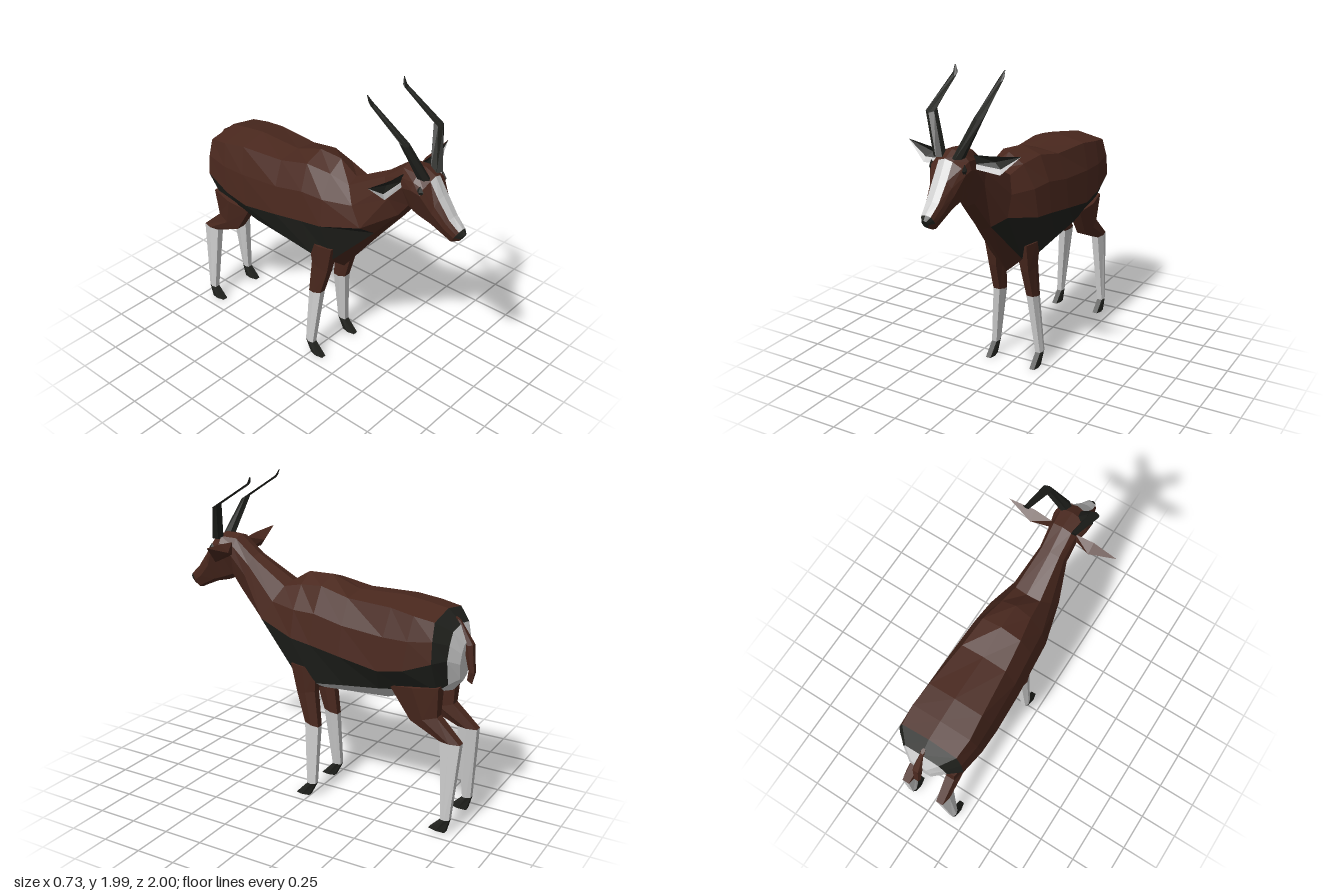
import * as THREE from 'three';

const BROWN = 0x4a281e, BLACK = 0x20211d, PALE = 0xcccccc;
const materials = {};
const material = (color) => (materials[color] ??= new THREE.MeshStandardMaterial({ color, flatShading: true, roughness: 0.9 }));

// One mesh per colour from a list of { color, pts } convex polygons
function facesToGroup(name, faces) {
  const group = new THREE.Group();
  group.name = name;
  const byColor = new Map();
  for (const { color, pts } of faces) {
    if (!byColor.has(color)) byColor.set(color, []);
    for (let k = 1; k < pts.length - 1; k++)
      for (const p of [pts[0], pts[k], pts[k + 1]]) byColor.get(color).push(...p);
  }
  for (const [color, coords] of byColor) {
    const geo = new THREE.BufferGeometry();
    geo.setAttribute('position', new THREE.Float32BufferAttribute(coords, 3));
    geo.computeVertexNormals();
    const mesh = new THREE.Mesh(geo, material(color));
    mesh.name = name + ({ [BROWN]: 'Brown', [BLACK]: 'Black', [PALE]: 'Pale' })[color];
    group.add(mesh);
  }
  return group;
}

// Skin a list of rings; each ring runs clockwise seen from the first end
function loft(rings, colorOf) {
  const faces = [], n = rings[0].length, last = rings.length - 1;
  for (let i = 0; i < last; i++)
    for (let j = 0; j < n; j++) {
      const k = (j + 1) % n;
      faces.push({ color: colorOf(i, j), pts: [rings[i][j], rings[i][k], rings[i + 1][k], rings[i + 1][j]] });
    }
  faces.push({ color: colorOf(0, 0), pts: [...rings[0]].reverse() });
  faces.push({ color: colorOf(last - 1, 0), pts: rings[last] });
  return faces;
}

const mirrorFaces = (faces) =>
  faces.map(({ color, pts }) => ({ color, pts: pts.map(([x, y, z]) => [-x, y, z]).reverse() }));

function addPair(group, name, faces) {
  group.add(facesToGroup(name + 'Left', faces), facesToGroup(name + 'Right', mirrorFaces(faces)));
}

// Symmetric ring: top z,y, bottom z,y, then half-width and depth fraction of back edge, flank and belly edge
function trunkRing([zt, yt, zb, yb, ux, ut, mx, mt, wx, wt]) {
  const half = [[ux, ut], [ux + (mx - ux) * 0.75, ut + (mt - ut) * 0.45], [mx, mt], [wx, wt]];
  const at = (x, t) => [x, yt + (yb - yt) * t, zt + (zb - zt) * t];
  return [at(0, 0), ...half.map(([x, t]) => at(x, t)), at(0, 1), ...half.reverse().map(([x, t]) => at(-x, t))];
}
const band = (j) => Math.min(j, 9 - j);

// Leg ring: front z,y, back z,y, inner and outer x
function legRing([zf, yf, zb, yb, xi, xo]) {
  const c = (xi + xo) / 2, h = (xo - xi) * 0.32, zm = (zf + zb) / 2, ym = (yf + yb) / 2;
  return [[c - h, yb, zb], [c + h, yb, zb], [xo, ym, zm], [c + h, yf, zf], [c - h, yf, zf], [xi, ym, zm]];
}

export function createModel() {
  const model = new THREE.Group();
  model.name = 'antelope';
  const neckBase = [0.22, 1.345, 0.42, 1.03, 0.085, 0.06, 0.145, 0.74, 0.055, 0.93];

  // Head and neck, nose to shoulder
  const head = [
    [1.0, 1.275, 0.97, 1.225, 0.014, 0.1, 0.02, 0.5, 0.014, 0.9],
    [0.98, 1.3, 0.92, 1.2, 0.03, 0.08, 0.042, 0.5, 0.028, 0.9],
    [0.915, 1.355, 0.87, 1.225, 0.04, 0.05, 0.056, 0.5, 0.035, 0.9],
    [0.84, 1.46, 0.79, 1.26, 0.045, 0.04, 0.078, 0.45, 0.045, 0.9],
    [0.78, 1.56, 0.71, 1.28, 0.045, 0.05, 0.115, 0.3, 0.055, 0.9],
    [0.71, 1.595, 0.68, 1.29, 0.07, 0.06, 0.115, 0.35, 0.055, 0.9],
    [0.6, 1.59, 0.645, 1.31, 0.06, 0.06, 0.095, 0.45, 0.05, 0.9],
    [0.47, 1.485, 0.58, 1.225, 0.06, 0.06, 0.09, 0.5, 0.05, 0.92],
    neckBase,
  ];
  model.add(facesToGroup('headAndNeck', loft(head.map(trunkRing), (i, j) =>
    i === 0 && band(j) < 3 ? BLACK : i > 0 && i < 4 && band(j) === 0 ? PALE : BROWN)));

  // Trunk, shoulder to rump, with dark flank, pale belly and rump patch
  const trunk = [
    neckBase,
    [0.1, 1.42, 0.13, 0.66, 0.1, 0.08, 0.21, 0.49, 0.11, 0.87],
    [-0.06, 1.425, 0, 0.68, 0.13, 0.06, 0.22, 0.53, 0.14, 0.9],
    [-0.25, 1.36, -0.22, 0.695, 0.15, 0.03, 0.235, 0.54, 0.15, 0.86],
    [-0.55, 1.37, -0.45, 0.71, 0.18, 0.05, 0.24, 0.62, 0.16, 0.83],
    [-0.7, 1.35, -0.62, 0.77, 0.195, 0.06, 0.24, 0.62, 0.15, 0.87],
    [-0.82, 1.33, -0.83, 0.83, 0.185, 0.07, 0.225, 0.54, 0.14, 0.92],
    [-0.905, 1.255, -0.87, 0.84, 0.115, 0.05, 0.15, 0.45, 0.09, 0.85],
    [-0.95, 1.16, -0.93, 0.91, 0.05, 0.05, 0.08, 0.5, 0.05, 0.9],
  ];
  model.add(facesToGroup('trunk', loft(trunk.map(trunkRing), (i, j) => {
    const b = band(j);
    if (i === 7) return PALE;
    if (i === 6) return b === 4 ? PALE : BLACK;
    if (b === 4) return i < 2 ? BROWN : PALE;
    return b === 3 ? BLACK : BROWN;
  })));

  // Tail: narrow strip hanging over the rump patch
  const tail = [[-0.87, 1.29, -0.9, 1.27, -0.012, 0.012], [-0.93, 1.13, -0.985, 1.14, -0.028, 0.028],
    [-0.965, 0.98, -1.0, 0.97, -0.022, 0.022], [-0.955, 0.92, -0.985, 0.9, -0.006, 0.006]];
  model.add(facesToGroup('tail', loft(tail.map(legRing), () => BROWN)));

  // Legs: brown upper part, pale shank, dark hoof
  const frontLeg = [
    [0.15, 0.86, -0.03, 0.86, 0.05, 0.17],
    [0.11, 0.67, -0.015, 0.7, 0.075, 0.155],
    [0.055, 0.485, -0.04, 0.465, 0.085, 0.155],
    [0.02, 0.085, -0.04, 0.09, 0.135, 0.188],
    [0.1, 0, 0.005, 0, 0.135, 0.188],
  ];
  const hindLeg = [
    [-0.54, 0.86, -0.85, 0.9, 0.06, 0.19],
    [-0.67, 0.66, -0.84, 0.71, 0.07, 0.165],
    [-0.865, 0.57, -0.99, 0.57, 0.09, 0.165],
    [-0.9, 0.085, -0.955, 0.09, 0.135, 0.188],
    [-0.825, 0.01, -0.93, 0, 0.135, 0.188],
  ];
  const legColors = [BROWN, BROWN, PALE, BLACK];
  for (const [name, leg] of [['frontLeg', frontLeg], ['hindLeg', hindLeg]])
    addPair(model, name, loft(leg.map(legRing), (i) => legColors[i]));

  // Horns: up and out, then bent back, with upturned tips (tip first, so rings turn clockwise)
  const horn = [[0.16, 1.987, 0.418, 0.004, 0.004], [0.15, 1.945, 0.435, 0.016, 0.022],
    [0.155, 1.79, 0.67, 0.032, 0.034], [0.06, 1.56, 0.74, 0.033, 0.042]];
  const hornRings = horn.map(([x, y, z, rx, rz], i) => Array.from({ length: 6 }, (_, k) => {
    const a = (k / 6) * Math.PI * 2, lean = [0.9, 0.9, 0.5, 0][i];
    return [x + rx * Math.sin(a), y - rz * Math.cos(a) * Math.sin(lean) * -1, z - rz * Math.cos(a) * Math.cos(lean)];
  }));
  addPair(model, 'horn', loft(hornRings, () => BLACK));

  // Ears: brown back, dark hollow, pale lower rim
  const rim = [[0.08, 1.47, 0.62], [0.25, 1.46, 0.625], [0.365, 1.575, 0.6], [0.2, 1.56, 0.625], [0.08, 1.55, 0.62]];
  const hollow = [0.2, 1.52, 0.595], back = [0.2, 1.515, 0.565];
  const inner = [[0.08, 1.495, 0.61], [0.245, 1.49, 0.61]];
  const ear = [
    { color: PALE, pts: [rim[0], rim[1], inner[1], inner[0]] },
    { color: PALE, pts: [rim[1], rim[2], inner[1]] },
    { color: BLACK, pts: [inner[0], inner[1], hollow] },
    { color: BLACK, pts: [inner[1], rim[2], hollow] },
    { color: BLACK, pts: [rim[2], rim[3], hollow] },
    { color: BLACK, pts: [rim[3], rim[4], hollow] },
    { color: BLACK, pts: [rim[4], inner[0], hollow] },
    ...rim.map((p, i) => ({ color: BROWN, pts: [rim[(i + 1) % 5], p, back] })),
  ];
  addPair(model, 'ear', ear);

  // Eyes
  for (const side of [1, -1]) {
    const eye = new THREE.Mesh(new THREE.OctahedronGeometry(0.03), material(BLACK));
    eye.name = side > 0 ? 'eyeLeft' : 'eyeRight';
    eye.scale.set(0.5, 1.2, 0.8);
    eye.position.set(side * 0.106, 1.5, 0.755);
    model.add(eye);
  }
  return model;
}
